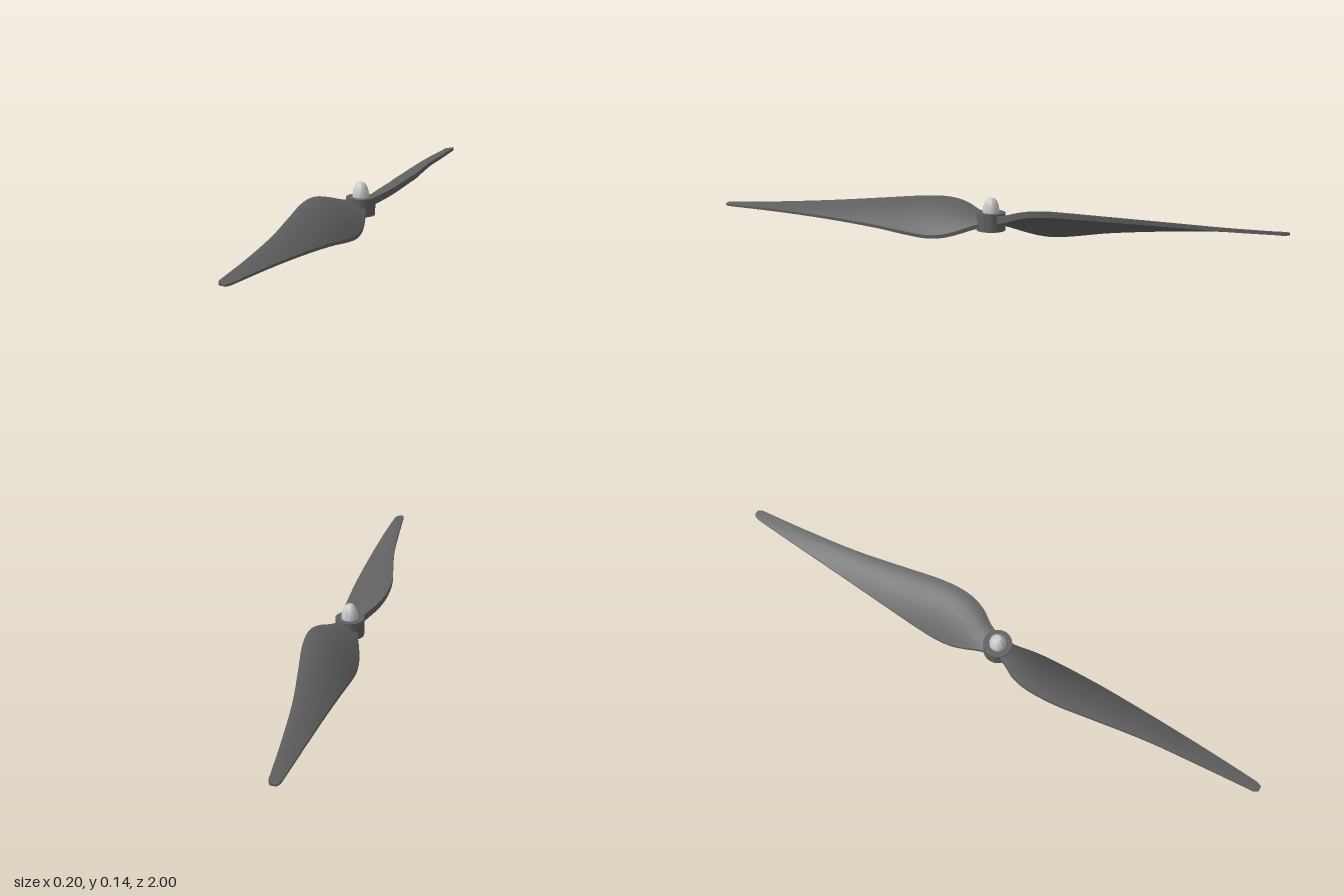
import * as THREE from 'three';
import { toCreasedNormals } from 'three/addons/utils/BufferGeometryUtils.js';

const dark = new THREE.MeshStandardMaterial({ color: 0x606060 });
const light = new THREE.MeshStandardMaterial({ color: 0xcccccc });

// Blade stations: z, high-edge x, low-edge x, high-edge y, low-edge y, thickness
const stations = [
  [0.025, -0.035, 0.035, 0.082, 0.04, 0.026],
  [0.06, -0.052, 0.042, 0.09, 0.031, 0.025],
  [0.10, -0.078, 0.054, 0.104, 0.018, 0.023],
  [0.15, -0.095, 0.065, 0.116, 0.005, 0.021],
  [0.21, -0.1, 0.07, 0.121, 0, 0.02],
  [0.29, -0.095, 0.069, 0.118, 0.009, 0.019],
  [0.40, -0.077, 0.064, 0.11, 0.026, 0.017],
  [0.60, -0.045, 0.051, 0.096, 0.046, 0.015],
  [0.80, -0.026, 0.037, 0.084, 0.059, 0.013],
  [0.96, -0.014, 0.024, 0.078, 0.065, 0.011],
  [0.985, -0.012, 0.021, 0.077, 0.066, 0.011],
  [1.00, -0.004, 0.014, 0.076, 0.067, 0.008],
];

// Monotone z, smooth interpolation between stations
function sampleStation(i, t) {
  const at = (k) => stations[Math.min(Math.max(k, 0), stations.length - 1)];
  const [p0, p1, p2, p3] = [at(i - 1), at(i), at(i + 1), at(i + 2)];
  const h = p2[0] - p1[0];
  return p1.map((v, k) => {
    if (k === 0) return v + h * t;
    const m1 = ((p2[k] - p0[k]) / (p2[0] - p0[0])) * h;
    const m2 = ((p3[k] - p1[k]) / (p3[0] - p1[0])) * h;
    const t2 = t * t, t3 = t2 * t;
    return (2 * t3 - 3 * t2 + 1) * v + (t3 - 2 * t2 + t) * m1
      + (3 * t2 - 2 * t3) * p2[k] + (t3 - t2) * m2;
  });
}

// Cambered, twisted blade lofted from closed cross-sections
function bladeGeometry() {
  const n = 12, ring = 2 * (n + 1), pos = [], idx = [], rows = [];
  for (let i = 0; i < stations.length - 1; i++) {
    for (let s = 0; s < 4; s++) rows.push(sampleStation(i, s / 4));
  }
  rows.push(stations[stations.length - 1]);
  for (const [z, xa, xb, yHigh, yLow, thick] of rows) {
    const camber = 2 - 0.6 * z;
    for (let j = 0; j < ring; j++) {
      const top = j <= n;
      const u = (top ? j : ring - 1 - j) / n;
      const t = thick * (1 - 0.4 * u);
      const y = yHigh + (yLow + thick * 0.6 - yHigh) * Math.pow(u, camber);
      pos.push(xa + (xb - xa) * u, top ? y : y - t, z);
    }
  }
  for (let i = 0; i < rows.length - 1; i++) {
    for (let j = 0; j < ring; j++) {
      const a = i * ring + j, b = i * ring + (j + 1) % ring;
      idx.push(a, a + ring, b, b, a + ring, b + ring);
    }
  }
  // tip and root closures
  const last = (rows.length - 1) * ring;
  for (let j = 0; j < n; j++) {
    const k = ring - 1 - j;
    idx.push(last + j, last + k, last + j + 1, last + j + 1, last + k, last + k - 1);
    idx.push(j, j + 1, k, j + 1, k - 1, k);
  }
  const g = new THREE.BufferGeometry();
  g.setAttribute('position', new THREE.Float32BufferAttribute(pos, 3));
  g.setIndex(idx);
  return toCreasedNormals(g, 0.7);
}

function lathe(points, segments, material, name) {
  const g = new THREE.LatheGeometry(points.map(([r, y]) => new THREE.Vector2(r, y)), segments);
  const mesh = new THREE.Mesh(toCreasedNormals(g, 0.6), material);
  mesh.name = name;
  return mesh;
}

export function createModel() {
  const group = new THREE.Group();
  group.name = 'propeller';

  // Two blades, opposite each other
  const blade = bladeGeometry();
  ['frontBlade', 'rearBlade'].forEach((name, i) => {
    const mesh = new THREE.Mesh(blade, dark);
    mesh.name = name;
    mesh.rotation.y = i * Math.PI;
    group.add(mesh);
  });

  // Hub ring with a bore
  group.add(lathe([[0.022, 0.028], [0.05, 0.028], [0.05, 0.09], [0.022, 0.09], [0.022, 0.028]],
    40, dark, 'hub'));

  // Shaft in the bore and rounded nut on top
  group.add(lathe([[0, 0.032], [0.022, 0.032], [0.022, 0.09]], 32, light, 'shaft'));
  group.add(lathe([[0, 0.088], [0.029, 0.088], [0.029, 0.098], [0.027, 0.111], [0.023, 0.123],
    [0.018, 0.133], [0.011, 0.14], [0, 0.141]], 32, light, 'spinnerCap'));
  return group;
}
